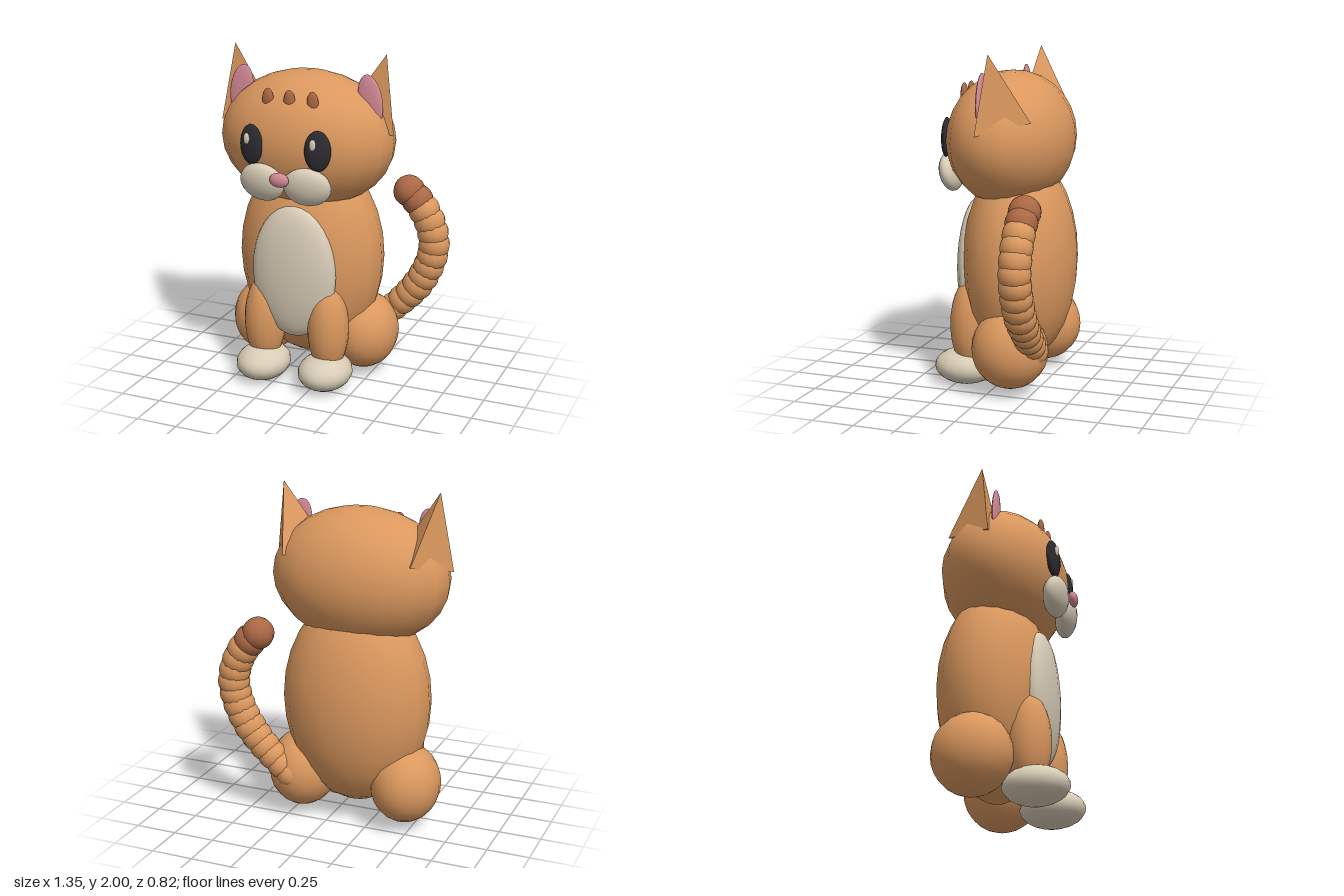
import * as THREE from 'three';

const CX = -0.13; // mirror plane of the cat; the tail swings out to its left

function material(name, color) {
  const m = new THREE.MeshStandardMaterial({ color });
  m.name = name;
  return m;
}

export function createModel() {
  const cat = new THREE.Group();
  cat.name = 'sittingCat';

  const orange = material('orangeFur', 0xdb985e);
  const cream = material('creamFur', 0xd8ccb6);
  const brown = material('brownFur', 0xab6845);
  const pink = material('pink', 0xd88c9a);
  const dark = material('darkEye', 0x2b2b31);

  // Smooth ellipsoid: centre, radii, optional rotation
  function blob(name, mat, [x, y, z], radii, rot = [0, 0, 0], w = 18, h = 14) {
    const mesh = new THREE.Mesh(new THREE.SphereGeometry(1, w, h), mat);
    mesh.name = name;
    mesh.position.set(x, y, z);
    mesh.scale.set(...radii);
    mesh.rotation.set(...rot);
    cat.add(mesh);
    return mesh;
  }

  // Torso and head
  blob('body', orange, [CX, 0.75, -0.08], [0.45, 0.635, 0.335]);
  blob('belly', cream, [CX, 0.71, 0.192], [0.267, 0.405, 0.095], [0, 0, 0], 20, 16);
  blob('head', orange, [CX, 1.48, -0.025], [0.535, 0.402, 0.367]);
  blob('nose', pink, [CX, 1.325, 0.385], [0.06, 0.043, 0.027], [0, 0, 0], 14, 10);

  // Forehead marks
  for (const i of [-1, 0, 1]) {
    blob('foreheadMark', brown, [CX + i * 0.138, 1.745, i ? 0.226 : 0.236],
      [0.036, 0.066, 0.02], [0, 0, 0], 12, 10);
  }

  // Paired parts
  for (const s of [1, -1]) {
    const side = s > 0 ? 'left' : 'right';
    const at = (dx, y, z) => [CX + s * dx, y, z];

    blob(side + 'Haunch', orange, at(0.325, 0.28, -0.125), [0.208, 0.235, 0.23]);
    blob(side + 'FrontLeg', orange, at(0.206, 0.375, 0.165), [0.125, 0.275, 0.125]);
    blob(side + 'Paw', cream, at(0.203, 0.113, 0.2), [0.16, 0.108, 0.19]);
    blob(side + 'Cheek', cream, at(0.14, 1.28, 0.312), [0.143, 0.116, 0.062], [0.22, s * 0.1, 0]);
    blob(side + 'Eye', dark, at(0.205, 1.495, 0.313), [0.077, 0.117, 0.03], [-0.03, s * 0.2, 0]);
    // Both highlights sit towards the same side of the eye
    blob(side + 'EyeHighlight', cream, [CX + s * 0.205 - 0.018, 1.533, 0.338],
      [0.021, 0.034, 0.012], [0, s * 0.2, 0], 10, 8);
    blob(side + 'InnerEar', pink, at(0.405, 1.74, 0.022), [0.074, 0.152, 0.018], [0, 0, s * 0.17]);

    // Ear: pointed three-sided pyramid
    const apex = at(0.475, 2, -0.045);
    const outer = at(0.545, 1.545, 0.012);
    const back = at(0.385, 1.615, -0.27);
    const inner = at(0.213, 1.62, 0.003);
    const faces = [[apex, inner, outer], [apex, outer, back], [apex, back, inner], [inner, back, outer]];
    const points = faces.flatMap(([a, b, c]) => (s > 0 ? [a, b, c] : [a, c, b])).flat();
    const geo = new THREE.BufferGeometry();
    geo.setAttribute('position', new THREE.Float32BufferAttribute(points, 3));
    geo.computeVertexNormals();
    const ear = new THREE.Mesh(geo, orange);
    ear.name = side + 'Ear';
    cat.add(ear);
  }

  // Tail: overlapping beads along a curve, with a brown tip
  const path = new THREE.CatmullRomCurve3([
    [0.22, 0.29], [0.37, 0.43], [0.48, 0.56], [0.55, 0.7],
    [0.575, 0.83], [0.545, 0.96], [0.48, 1.07], [0.41, 1.14],
  ].map(([x, y]) => new THREE.Vector3(x, y, -0.287)));
  const beads = 15;
  path.getSpacedPoints(beads - 1).forEach((p, i) => {
    const r = 0.082 + 0.014 * Math.min(1, i / 5);
    blob(i >= beads - 2 ? 'tailTip' : 'tailSegment', i >= beads - 2 ? brown : orange,
      [p.x, p.y, p.z], [r, r, r], [0, 0, 0], 12, 10);
  });

  return cat;
}
